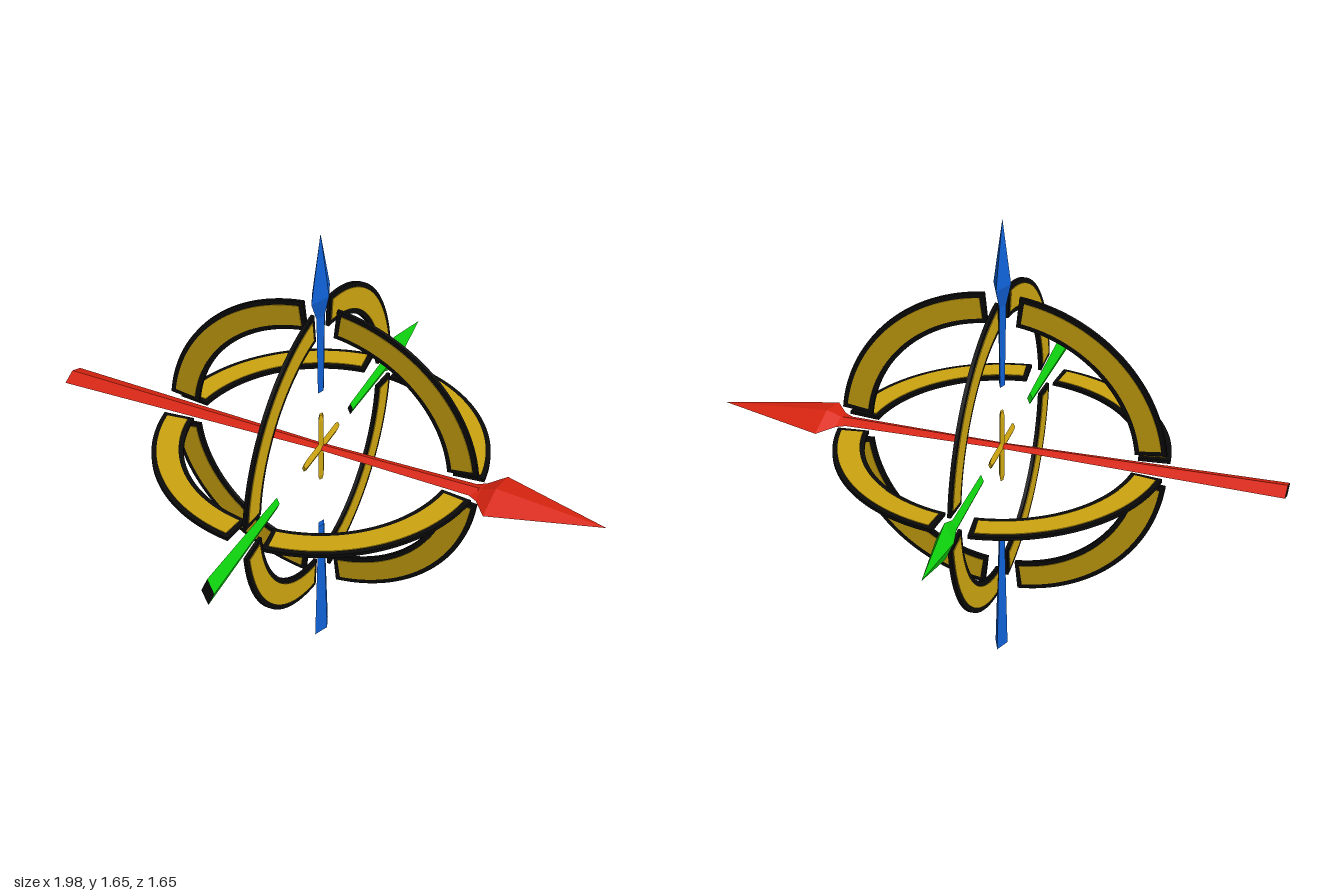
import * as THREE from 'three';

const paint = (name, color, extra = {}) => {
  const m = new THREE.MeshStandardMaterial({ color, flatShading: true, ...extra });
  m.name = name;
  return m;
};

export function createModel() {
  const red = paint('red', 0xdc2410);
  const green = paint('green', 0x0ed40e);
  const blue = paint('blue', 0x0f60d4);
  const gold = paint('gold', 0xcda510);
  const black = paint('black', 0x0a0a0a);

  const model = new THREE.Group();
  model.name = 'axisSphere';
  const core = new THREE.Group();
  core.name = 'core';
  core.position.set(-0.03, 0.815, 0.02);
  model.add(core);

  const add = (parent, name, geometry, material) => {
    const mesh = new THREE.Mesh(geometry, material);
    mesh.name = name;
    parent.add(mesh);
    return mesh;
  };

  // Diamond-section solid along y: wide in z, flattened in x. Points are [half width, height].
  const diamond = (points, flat = 0.42) =>
    new THREE.LatheGeometry(points.map(p => new THREE.Vector2(...p)), 4).scale(flat, 1, 1);

  // Arrow pointing along +y
  const makeArrow = (name, material, shafts, head, headFlat) => {
    const arrow = new THREE.Group();
    arrow.name = name;
    for (const s of shafts) {
      const first = s[0], last = s[s.length - 1];
      add(arrow, 'shaft', diamond([...s, [0, last[1]]]), material);
      add(arrow, 'shaftEnd', diamond([[0, first[1]], first]), black);
    }
    add(arrow, 'arrowHead', diamond(head, headFlat), material);
    core.add(arrow);
    return arrow;
  };

  const splitShafts = [
    [[0.053, -0.815], [0.023, -0.335]],
    [[0.023, 0.235], [0.032, 0.54]],
  ];
  const smallHead = [[0.03, 0.53], [0.069, 0.61], [0, 0.835]];
  makeArrow('upArrow', blue, splitShafts, smallHead, 0.43);
  makeArrow('depthArrow', green, splitShafts, smallHead, 0.43).rotation.x = -Math.PI / 2;
  makeArrow('sideArrow', red,
    [[[0.05, -0.97], [0.02, 0], [0.034, 0.57]]],
    [[0.034, 0.55], [0.05, 0.58], [0.113, 0.63], [0, 1.01]], 0.28).rotation.z = -Math.PI / 2;

  // Quarter arc plate with radial ends, inset from its border
  const arcPlate = (inset, depth) => {
    const outer = 0.57 - inset, inner = 0.462 + inset;
    const a0 = 0.105 + inset / 0.52, a1 = Math.PI / 2 - a0;
    const shape = new THREE.Shape();
    shape.absarc(0, 0, outer, a0, a1, false);
    shape.absarc(0, 0, inner, a1, a0, true);
    shape.closePath();
    return new THREE.ExtrudeGeometry(shape, { depth, bevelEnabled: false, curveSegments: 20 })
      .translate(0, 0, -depth / 2);
  };
  const border = arcPlate(0, 0.012);
  const face = arcPlate(0.017, 0.017);

  // Three rings, one in each plane, each with four arcs
  const planes = [['frontRing', 0, 0], ['sideRing', 0, Math.PI / 2], ['levelRing', Math.PI / 2, 0]];
  for (const [name, rx, ry] of planes) {
    const ring = new THREE.Group();
    ring.name = name;
    ring.rotation.set(rx, ry, 0);
    for (let i = 0; i < 4; i++) {
      add(ring, 'arcBorder', border, black).rotation.z = i * Math.PI / 2;
      add(ring, 'arcFace', face, gold).rotation.z = i * Math.PI / 2;
    }
    core.add(ring);
  }

  // Small cross at the centre
  const bar = diamond([[0, -0.135], [0.012, -0.135], [0.021, -0.115],
    [0.021, 0.115], [0.012, 0.135], [0, 0.135]], 0.45);
  add(core, 'crossUpright', bar, gold);
  add(core, 'crossBar', bar, gold).rotation.x = Math.PI / 2;

  return model;
}
